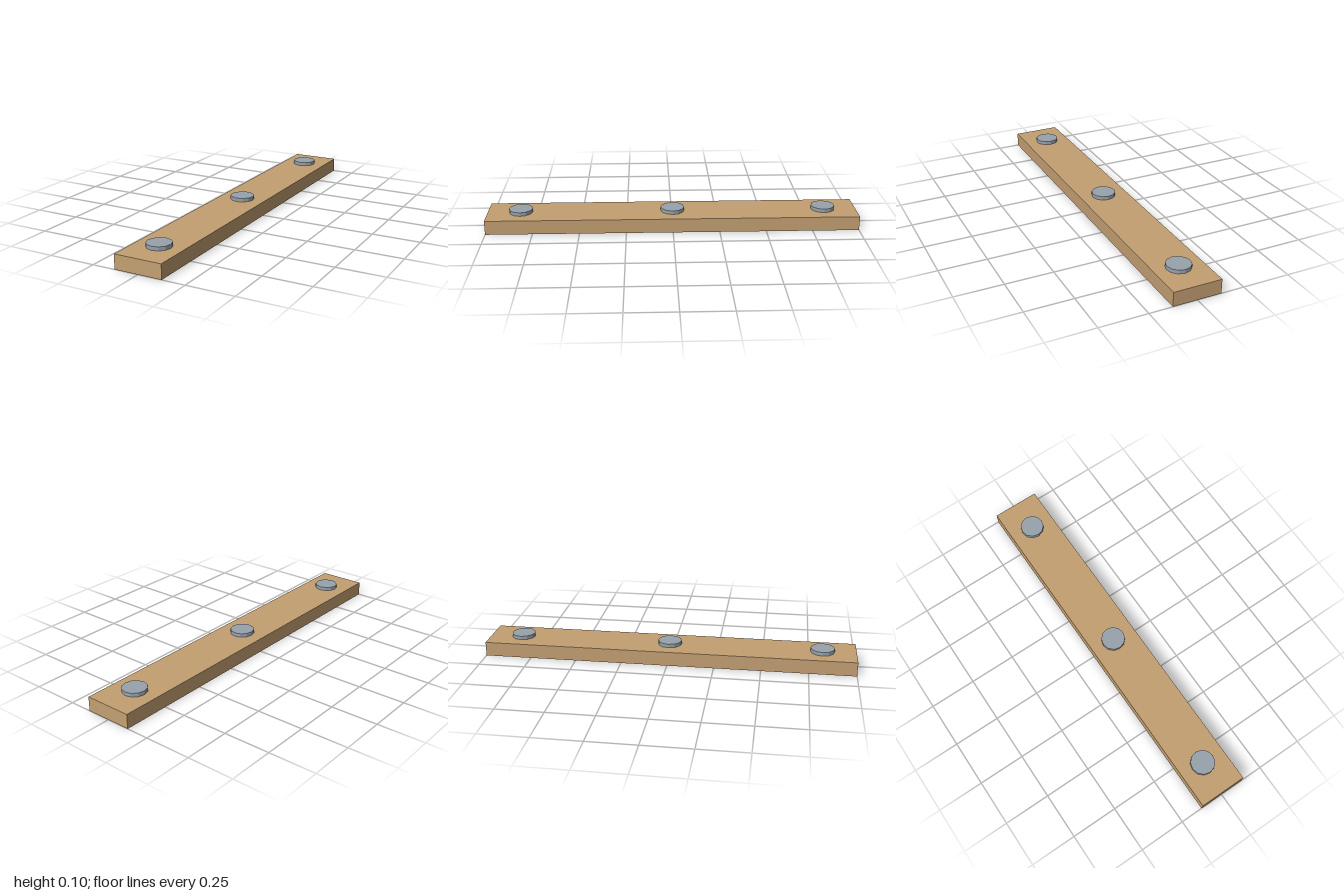
import * as THREE from 'three';

export function createModel() {
  const model = new THREE.Group();
  model.name = 'studdedPlank';

  const wood = new THREE.MeshStandardMaterial({ color: 0xc4a072 });
  wood.name = 'wood';
  const metal = new THREE.MeshStandardMaterial({ color: 0x98a3ad });
  metal.name = 'metal';

  const plankHeight = 0.077;
  const studHeight = 0.02;

  // Flat wooden board
  const plank = new THREE.Mesh(new THREE.BoxGeometry(0.256, plankHeight, 2), wood);
  plank.name = 'plank';
  plank.position.y = plankHeight / 2;
  model.add(plank);

  // Three faceted bolt heads along the centre line; non-indexed normals keep the facets flat
  const studGeometry = new THREE.CylinderGeometry(0.064, 0.064, studHeight, 12).toNonIndexed();
  studGeometry.computeVertexNormals();
  const studs = { backStud: -0.82, middleStud: 0, frontStud: 0.82 };
  for (const [name, z] of Object.entries(studs)) {
    const stud = new THREE.Mesh(studGeometry, metal);
    stud.name = name;
    stud.position.set(0, plankHeight + studHeight / 2, z);
    model.add(stud);
  }

  return model;
}
